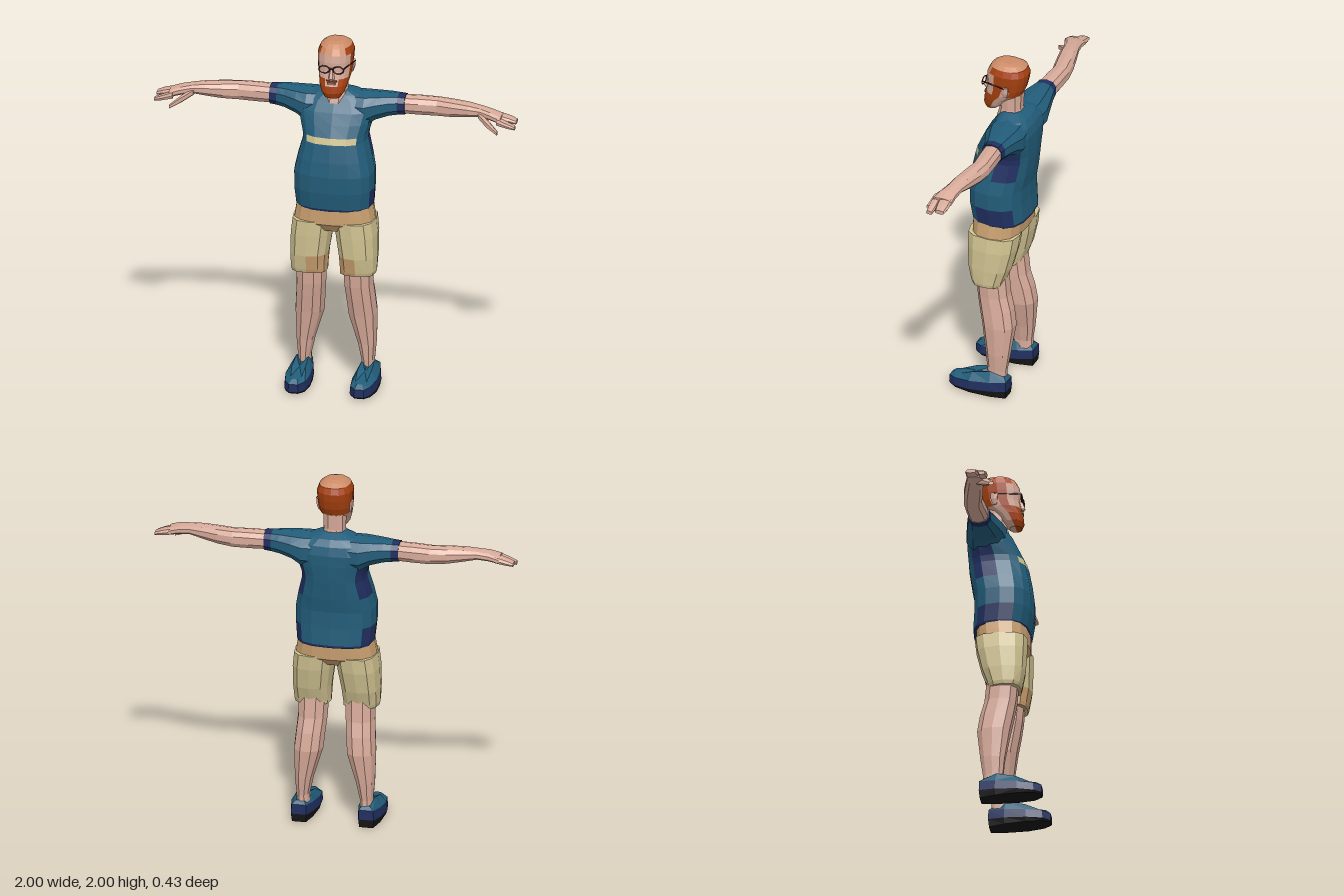
import * as THREE from 'three';

const mat = (name, color) => {
  const m = new THREE.MeshStandardMaterial({ color, flatShading: true });
  m.name = name;
  return m;
};
const M = {
  skin: mat('skin', 0xd8ab9a), shirt: mat('teal', 0x225d7a), navy: mat('navy', 0x202f60),
  khaki: mat('khaki', 0xd2c492), tan: mat('tan', 0xcba171), hair: mat('ginger hair', 0xa8410f),
  scalp: mat('thin hair', 0xcd8c68), sole: mat('black sole', 0x151515),
  frame: mat('glasses frame', 0x4a1a14), mouth: mat('mouth', 0x8f6e62),
};

// Ring of n points from [t, uMin, uMax, zMin, zMax]; t runs along y (u = x) or along x (u = y)
function ring([t, u0, u1, z0, z1], n, axis, e) {
  const f = v => Math.sign(v) * Math.abs(v) ** e;
  return Array.from({ length: n }, (_, j) => {
    const a = (j / n) * Math.PI * 2;
    const c = f(Math.cos(a)) * (u1 - u0) / 2, m = (u0 + u1) / 2;
    const z = (z0 + z1) / 2 + f(Math.sin(a)) * (z1 - z0) / 2;
    return axis === 'x' ? [t, m - c, z] : [m + c, t, z];
  });
}

// Skin rings with quads, close both ends; pick(band, side) gives the material of a face
function loftRings(rings, pick) {
  const n = rings[0].length, byMat = new Map();
  const put = (m, ...pts) => {
    if (!byMat.has(m)) byMat.set(m, []);
    byMat.get(m).push(...pts.flat());
  };
  const mid = r => [0, 1, 2].map(k => r.reduce((s, p) => s + p[k], 0) / n);
  const last = rings.length - 1, bottom = mid(rings[0]), top = mid(rings[last]);
  for (let j = 0; j < n; j++) {
    const k = (j + 1) % n;
    for (let i = 0; i < last; i++) {
      const a = rings[i][j], b = rings[i][k], c = rings[i + 1][k], d = rings[i + 1][j];
      put(pick(i, j), a, d, c, a, c, b);
    }
    put(pick(0, j), rings[0][j], rings[0][k], bottom);
    put(pick(last - 1, j), rings[last][k], rings[last][j], top);
  }
  const geo = new THREE.BufferGeometry(), pos = [], mats = [];
  for (const [m, pts] of byMat) {
    geo.addGroup(pos.length / 3, pts.length / 3, mats.length);
    for (const v of pts) pos.push(v);
    mats.push(m);
  }
  geo.setAttribute('position', new THREE.Float32BufferAttribute(pos, 3));
  geo.computeVertexNormals();
  return { geo, mats };
}

const loft = (sections, n, pick, { axis = 'y', e = 0.85 } = {}) =>
  loftRings(sections.map(s => ring(s, n, axis, e)), typeof pick === 'function' ? pick : () => pick);

// Mirror a loft in x and turn its faces round again
function mirrored(geo) {
  const g = geo.clone(), from = geo.attributes.position, to = g.attributes.position;
  for (let i = 0; i < to.count; i += 3) {
    [0, 2, 1].forEach((s, k) => to.setXYZ(i + k, -from.getX(i + s), from.getY(i + s), from.getZ(i + s)));
  }
  g.computeVertexNormals();
  return g;
}

export function createModel() {
  const root = new THREE.Group();
  root.name = 'man';
  const add = (name, geo, mats) => {
    const m = new THREE.Mesh(geo, mats);
    m.name = name;
    root.add(m);
    return m;
  };
  const one = (name, l) => add(name, l.geo, l.mats);
  const pair = (name, l) => {
    add('left' + name, l.geo, l.mats);
    add('right' + name, mirrored(l.geo), l.mats);
  };
  const sym = rows => rows.map(([y, r, b, f]) => [y, -r, r, b, f]);

  // Shirt body: navy hem and side panels, pale chest stripe
  one('shirt', loft(sym([
    [1.055, 0.208, -0.185, 0.122], [1.068, 0.213, -0.186, 0.127], [1.165, 0.222, -0.18, 0.143],
    [1.26, 0.222, -0.18, 0.145], [1.34, 0.205, -0.195, 0.135], [1.44, 0.178, -0.21, 0.116],
    [1.475, 0.18, -0.213, 0.106], [1.54, 0.2, -0.217, 0.075], [1.6, 0.215, -0.217, 0.045],
    [1.65, 0.19, -0.205, 0.01], [1.685, 0.13, -0.18, -0.012], [1.71, 0.068, -0.13, -0.035],
  ]), 16, (i, j) => {
    if (i === 5 && j >= 2 && j <= 5) return M.khaki;
    if (i === 0) return M.navy;
    if (i === 1 && [0, 7, 8, 9, 14, 15].includes(j)) return M.navy;
    if (i >= 4 && i <= 6 && [8, 9, 14, 15].includes(j)) return M.navy;
    return M.shirt;
  }, { e: 0.75 }));

  // Sleeves with navy cuffs
  pair('Sleeve', loft([
    [0.08, 1.5, 1.693, -0.205, 0.01], [0.16, 1.5, 1.692, -0.21, 0.02], [0.22, 1.54, 1.69, -0.2, 0.0],
    [0.29, 1.562, 1.69, -0.185, -0.03], [0.335, 1.568, 1.688, -0.175, -0.045], [0.375, 1.572, 1.686, -0.17, -0.05],
  ], 10, i => (i === 4 ? M.navy : M.shirt), { axis: 'x' }));

  // Arms, palms, fingers and thumbs
  pair('Arm', loft([
    [0.33, 1.578, 1.68, -0.165, -0.055], [0.45, 1.575, 1.682, -0.17, -0.06], [0.55, 1.575, 1.68, -0.17, -0.068],
    [0.64, 1.582, 1.678, -0.158, -0.05], [0.73, 1.597, 1.674, -0.138, -0.035], [0.8, 1.61, 1.665, -0.12, -0.028],
    [0.86, 1.602, 1.655, -0.11, -0.008], [0.92, 1.59, 1.636, -0.108, 0.008],
  ], 10, M.skin, { axis: 'x' }));
  pair('Fingers', loft([
    [0.9, 1.596, 1.638, -0.106, -0.03], [0.96, 1.588, 1.622, -0.105, -0.035], [0.998, 1.584, 1.606, -0.098, -0.042],
  ], 8, M.skin, { axis: 'x', e: 0.7 }));
  pair('ForeFinger', loft([
    [0.9, 1.588, 1.632, -0.035, 0.01], [0.96, 1.575, 1.608, -0.034, 0.012], [1.0, 1.57, 1.59, -0.028, 0.008],
  ], 8, M.skin, { axis: 'x', e: 0.7 }));
  pair('Thumb', loft([
    [0.79, 1.605, 1.645, -0.075, -0.025], [0.85, 1.573, 1.615, -0.03, 0.028], [0.91, 1.545, 1.568, 0.015, 0.045],
  ], 6, M.skin, { axis: 'x' }));

  // Shorts: tan seat, khaki legs
  one('shortsSeat', loft(sym([
    [0.93, 0.14, -0.12, 0.09], [0.975, 0.225, -0.163, 0.122], [1.09, 0.206, -0.172, 0.122],
  ]), 16, M.tan, { e: 0.75 }));
  pair('ShortsLeg', loft([
    [0.675, 0.035, 0.232, -0.085, 0.09], [0.695, 0.035, 0.237, -0.092, 0.097], [0.78, 0.03, 0.24, -0.125, 0.115],
    [0.9, 0.012, 0.238, -0.155, 0.122], [0.985, 0.002, 0.228, -0.166, 0.124],
  ], 12, (i, j) => (i < 2 && j >= 3 && j <= 5 ? M.tan : M.khaki), { e: 0.72 }));

  // Bare legs
  pair('Leg', loft([
    [0.09, 0.14, 0.21, -0.115, -0.01], [0.15, 0.14, 0.212, -0.115, -0.002], [0.25, 0.118, 0.222, -0.13, 0.008],
    [0.42, 0.066, 0.228, -0.15, 0.035], [0.52, 0.058, 0.22, -0.135, 0.055], [0.6, 0.05, 0.214, -0.112, 0.068],
    [0.72, 0.045, 0.215, -0.1, 0.078],
  ], 10, M.skin));

  // Shoes: outline squeezed inward and raised toward the ankle
  const outline = [[0.252, -0.04], [0.258, 0.08], [0.24, 0.17], [0.21, 0.212], [0.155, 0.212],
    [0.122, 0.17], [0.112, 0.08], [0.122, -0.04], [0.145, -0.13], [0.23, -0.13]];
  const shoeRing = (w, heel, toe, zs) => outline.map(([x, z]) =>
    [0.183 + (x - 0.183) * w, heel + (toe - heel) * (z + 0.13) / 0.345, 0.02 + (z - 0.02) * zs]);
  const collar = outline.map(([x, z]) =>
    [0.178 + (x - 0.178) * 0.52, z > 0.1 ? 0.088 : z > 0 ? 0.122 : z > -0.1 ? 0.145 : 0.12, 0.01 + (z - 0.01) * 0.86]);
  pair('Shoe', loftRings([
    shoeRing(0.9, 0, 0.012, 0.97), shoeRing(1, 0.045, 0.022, 1), shoeRing(0.93, 0.1, 0.065, 0.99), collar,
  ], i => [M.sole, M.navy, M.shirt][i]));

  // Neck
  one('neck', loft(sym([
    [1.63, 0.062, -0.14, 0.02], [1.675, 0.066, -0.138, 0.008], [1.72, 0.062, -0.13, -0.005], [1.81, 0.065, -0.135, 0.0],
  ]), 10, M.skin));

  // Head: beard around the jaw, hair at sides and back, thin crown
  one('head', loft(sym([
    [1.7, 0.042, 0.01, 0.076], [1.73, 0.063, -0.03, 0.088], [1.77, 0.077, -0.065, 0.084],
    [1.81, 0.087, -0.13, 0.074], [1.85, 0.092, -0.15, 0.066], [1.9, 0.096, -0.163, 0.068],
    [1.94, 0.098, -0.168, 0.064], [1.975, 0.084, -0.155, 0.045], [1.993, 0.06, -0.125, 0.02], [2.0, 0.035, -0.09, -0.01],
  ]), 16, (i, j) => {
    const back = j >= 8, side = j === 0 || j === 7, face = j === 3 || j === 4;
    if (i < 2) return back ? M.skin : M.hair;
    if (i === 2) return back || face ? M.skin : M.hair;
    if (i === 3) return side || (j >= 9 && j <= 14) ? M.hair : M.skin;
    if (i < 6) return back || side ? M.hair : M.skin;
    if (i === 6) return j >= 2 && j <= 5 ? M.scalp : M.hair;
    return M.scalp;
  }));
  one('nose', loft(sym([
    [1.802, 0.013, 0.05, 0.084], [1.818, 0.017, 0.05, 0.096], [1.875, 0.008, 0.05, 0.074],
  ]), 6, M.skin));
  pair('Ear', loft([
    [1.815, 0.08, 0.092, -0.075, -0.05], [1.845, 0.08, 0.102, -0.085, -0.045], [1.88, 0.08, 0.104, -0.085, -0.045],
  ], 6, M.skin));
  add('mouth', new THREE.BoxGeometry(0.045, 0.014, 0.008), M.mouth).position.set(0, 1.788, 0.08);
  add('moustache', new THREE.BoxGeometry(0.06, 0.008, 0.008), M.hair).position.set(0, 1.801, 0.075);

  // Glasses
  for (const s of [-1, 1]) {
    const side = s > 0 ? 'left' : 'right';
    const rim = add(side + 'GlassesRim', new THREE.TorusGeometry(0.025, 0.0035, 4, 10), M.frame);
    rim.scale.set(1.2, 0.85, 1);
    rim.position.set(s * 0.039, 1.868, 0.079);
    const arm = add(side + 'GlassesArm', new THREE.BoxGeometry(0.005, 0.006, 0.145), M.frame);
    arm.position.set(s * 0.086, 1.877, 0.008);
    arm.rotation.y = -s * 0.24;
  }
  add('glassesBridge', new THREE.BoxGeometry(0.022, 0.006, 0.006), M.frame).position.set(0, 1.872, 0.081);

  return root;
}
